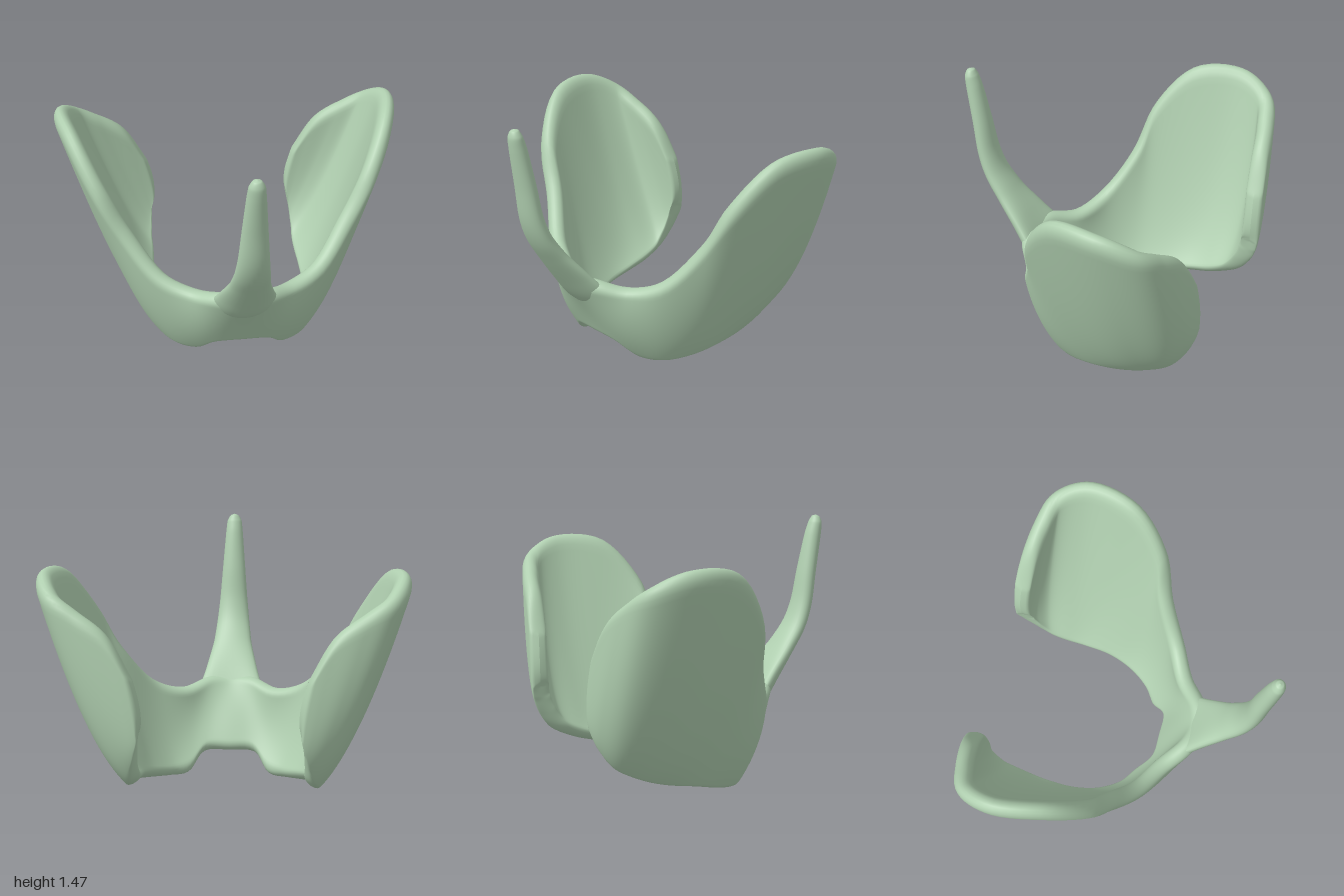
import * as THREE from 'three';

// Stations of the band from the middle to the end of the back flap:
// lower edge, middle and upper edge
const STATIONS = [
  [[0, 0.12, 0.215], [0, 0.32, 0.315], [0, 0.52, 0.44]],
  [[0.15, 0.115, 0.205], [0.13, 0.31, 0.305], [0.13, 0.53, 0.4]],
  [[0.24, 0.015, 0.105], [0.26, 0.26, 0.24], [0.28, 0.495, 0.265]],
  [[0.34, 0.015, 0.04], [0.41, 0.25, 0.13], [0.46, 0.565, 0.18]],
  [[0.43, 0.05, -0.09], [0.54, 0.33, 0], [0.64, 0.8, 0.06]],
  [[0.48, 0.095, -0.25], [0.63, 0.44, -0.15], [0.78, 1.05, 0]],
  [[0.48, 0.135, -0.42], [0.69, 0.51, -0.35], [0.91, 1.29, -0.2]],
  [[0.47, 0.175, -0.55], [0.71, 0.57, -0.53], [0.965, 1.32, -0.48]],
  [[0.46, 0.24, -0.66], [0.66, 0.57, -0.69], [0.9, 1.25, -0.655]],
  [[0.45, 0.33, -0.725], [0.57, 0.59, -0.755], [0.76, 1.16, -0.715]],
  [[0.44, 0.42, -0.765], [0.49, 0.61, -0.78], [0.595, 1.04, -0.75]],
  [[0.43, 0.5, -0.785], [0.415, 0.63, -0.79], [0.455, 0.8, -0.78]],
];

// Closed skin from rings of points; each ring wraps round
function loft(rings) {
  const n = rings[0].length, pos = [], idx = [];
  rings.forEach((r) => r.forEach((p) => pos.push(p.x, p.y, p.z)));
  for (let i = 0; i < rings.length - 1; i++) {
    for (let j = 0; j < n; j++) {
      const k = (j + 1) % n;
      const a = i * n + j, b = (i + 1) * n + j, c = (i + 1) * n + k, d = i * n + k;
      idx.push(a, b, c, a, c, d);
    }
  }
  const g = new THREE.BufferGeometry();
  g.setAttribute('position', new THREE.Float32BufferAttribute(pos, 3));
  g.setIndex(idx);
  g.computeVertexNormals();
  return g;
}

// Curved shell of even thickness with rounded rims
function bandGeometry() {
  const mirrored = STATIONS.slice(1).reverse()
    .map((s) => s.map(([x, y, z]) => [-x, y, z]));
  const all = [...mirrored, ...STATIONS];
  const [low, mid, high] = [0, 1, 2].map((k) =>
    new THREE.CatmullRomCurve3(all.map((s) => new THREE.Vector3(...s[k]))));
  const surface = (u, v) => {
    const p = new THREE.Vector3();
    p.addScaledVector(low.getPoint(u), (2 * v - 1) * (v - 1));
    p.addScaledVector(mid.getPoint(u), 4 * v * (1 - v));
    return p.addScaledVector(high.getPoint(u), v * (2 * v - 1));
  };
  // Normals are taken a little inside the outline, where they are steady
  const normalAt = (u, v) => {
    const e = 0.006;
    const a = THREE.MathUtils.clamp(u, 0.035, 0.965);
    const b = THREE.MathUtils.clamp(v, 0.1, 0.9);
    const du = surface(a + e, b).sub(surface(a - e, b));
    const dv = surface(a, b + e).sub(surface(a, b - e));
    return du.cross(dv).normalize();
  };
  const half = 0.05, along = 140, around = 64, rings = [];
  for (let i = 0; i <= along; i++) {
    const lin = i / along;
    // Crowd the rings towards both flap ends
    const u = 0.5 * lin + 0.25 * (1 - Math.cos(Math.PI * lin));
    const height = low.getPoint(u).distanceTo(high.getPoint(u));
    const ring = [];
    for (let j = 0; j < around; j++) {
      const a = (j / around) * Math.PI * 2;
      const v = (1 - Math.cos(a)) / 2;
      const rim = Math.min(Math.min(v, 1 - v) * height, Math.min(u, 1 - u) * 3);
      const k = Math.max(0, 1 - rim / half);
      const off = half * Math.sqrt(Math.max(0, 1 - k * k)) * (Math.sin(a) >= 0 ? 1 : -1);
      ring.push(surface(u, v).addScaledVector(normalAt(u, v), off));
    }
    rings.push(ring);
  }
  return loft(rings);
}

// Upright prong: ellipses along a bent path, as y, z, half width, half depth
// and how far the sides fall back to meet the band
function prongGeometry() {
  const rows = [
    [0.34, 0.325, 0.15, 0.03, 0.03], [0.45, 0.405, 0.19, 0.057, 0.06],
    [0.57, 0.49, 0.155, 0.06, 0.04], [0.71, 0.59, 0.115, 0.056, 0.01],
    [0.83, 0.665, 0.098, 0.055, 0], [0.95, 0.71, 0.085, 0.055, 0],
    [1.15, 0.745, 0.069, 0.052, 0], [1.36, 0.785, 0.052, 0.046, 0],
    [1.43, 0.8, 0.044, 0.038, 0], [1.465, 0.803, 0.024, 0.022, 0],
    [1.474, 0.804, 0.001, 0.001, 0],
  ];
  const path = new THREE.CatmullRomCurve3(rows.map((r) => new THREE.Vector3(0, r[0], r[1])));
  const size = new THREE.CatmullRomCurve3(rows.map((r) => new THREE.Vector3(r[2], r[3], r[4])));
  const rings = [];
  for (let i = 0; i <= 72; i++) {
    const c = path.getPoint(i / 72), s = size.getPoint(i / 72), t = path.getTangent(i / 72);
    const ring = [];
    for (let j = 0; j < 28; j++) {
      const a = (j / 28) * Math.PI * 2;
      const d = Math.sin(a) * s.y, sag = s.z * Math.cos(a) ** 2;
      ring.push(new THREE.Vector3(Math.cos(a) * s.x, c.y - t.z * d, c.z + t.y * d - sag));
    }
    rings.push(ring);
  }
  return loft(rings);
}

export function createModel() {
  const sage = new THREE.MeshStandardMaterial({ color: 0xb0cfb0 });
  sage.name = 'sage green';
  const model = new THREE.Group();
  model.name = 'wingedBracket';
  const add = (name, geometry) => {
    const mesh = new THREE.Mesh(geometry, sage);
    mesh.name = name;
    model.add(mesh);
  };
  add('bandWithSideWings', bandGeometry());
  add('frontProng', prongGeometry());
  return model;
}
